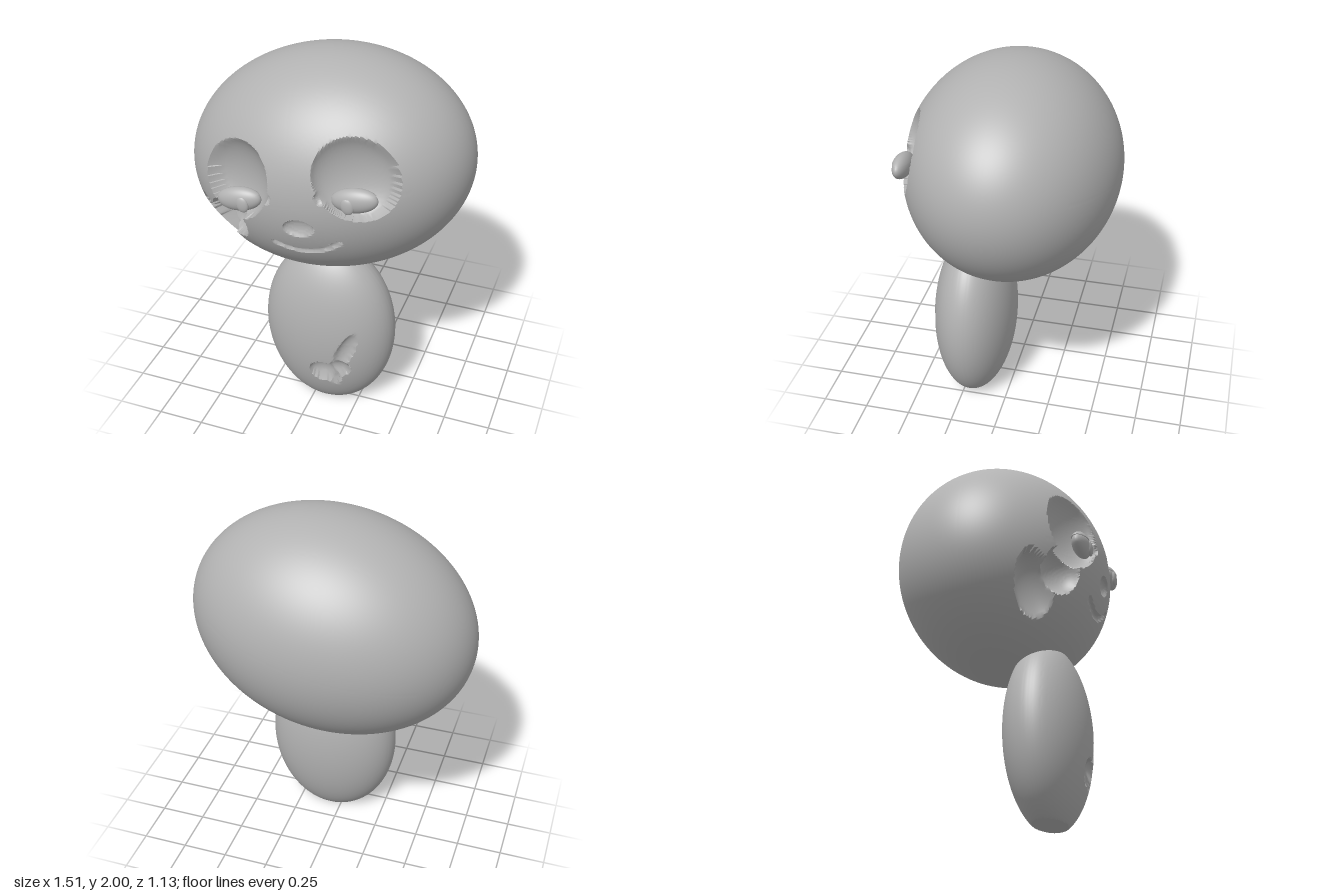
import * as THREE from 'three';
import { toCreasedNormals } from 'three/addons/utils/BufferGeometryUtils.js';

const grey = new THREE.MeshStandardMaterial({ color: 0xb2b2b2 });
grey.name = 'plain grey';

// A hollow is an ellipsoid: centre, radii, yaw and roll
function hollow(centre, radii, yaw = 0, roll = 0) {
  const turn = new THREE.Quaternion().setFromEuler(new THREE.Euler(0, yaw, roll, 'YXZ'));
  return new THREE.Matrix4()
    .compose(new THREE.Vector3(...centre), turn, new THREE.Vector3(...radii))
    .invert();
}

// Ellipsoid about the origin, finest at the front, pressed in along its rays by the hollows
function carvedEllipsoid(radii, hollows, around, along, crowd) {
  const geo = new THREE.SphereGeometry(1, around, along);
  const pos = geo.attributes.position;
  const size = new THREE.Vector3(...radii);
  const p = new THREE.Vector3(), o = new THREE.Vector3(), d = new THREE.Vector3();
  for (let i = 0; i < pos.count; i++) {
    const phi = ((i % (around + 1)) % around) / around * Math.PI * 2;
    const row = Math.floor(i / (around + 1)) / along;
    const theta = Math.PI * Math.pow(row, crowd);
    const s = Math.sin(theta);
    p.set(-Math.cos(phi) * s, -Math.sin(phi) * s, Math.cos(theta)).multiply(size);
    let depth = 1;
    for (const inverse of hollows) {
      o.set(0, 0, 0).applyMatrix4(inverse);
      d.copy(p).applyMatrix4(inverse);
      if (d.lengthSq() >= 1) continue;
      d.sub(o);
      const a = d.lengthSq(), b = o.dot(d), c = o.lengthSq() - 1;
      const root = b * b - a * c;
      if (root > 0) depth = Math.min(depth, Math.max(0.05, (-b - Math.sqrt(root)) / a));
    }
    p.multiplyScalar(depth);
    pos.setXYZ(i, p.x, p.y, p.z);
  }
  return geo;
}

function add(parent, name, geo) {
  const mesh = new THREE.Mesh(geo, grey);
  mesh.name = name;
  parent.add(mesh);
  return mesh;
}

function makeHead() {
  const head = new THREE.Group();
  head.name = 'head';
  const radii = [0.76, 0.594, 0.563];
  const surfaceZ = (x, y) => radii[2] * Math.sqrt(1 - (x / radii[0]) ** 2 - (y / radii[1]) ** 2);
  const hollows = [];

  // Eye sockets with a small nick on the inner rim
  for (const side of [-1, 1]) {
    hollows.push(hollow([side * 0.32, 0.123, 0.49], [0.205, 0.235, 0.115], side * 0.33, side * 0.5));
    hollows.push(hollow([side * 0.145, 0.045, surfaceZ(0.145, 0.045)], [0.03, 0.035, 0.025]));
  }
  // Nose dent
  hollows.push(hollow([-0.004, -0.127, surfaceZ(0, -0.127)], [0.082, 0.056, 0.03]));
  // Smile groove, curving up at both ends
  for (let i = 0; i <= 24; i++) {
    const x = -0.168 + i / 24 * 0.336;
    const y = -0.288 + 0.055 * (x / 0.168) ** 2;
    hollows.push(hollow([x, y, surfaceZ(x, y)], [0.019, 0.019, 0.016]));
  }
  // Hand and forearm pressed into the right cheek
  hollows.push(hollow([-0.435, -0.14, 0.44], [0.125, 0.125, 0.11], -0.5));
  hollows.push(hollow([-0.545, -0.26, 0.33], [0.11, 0.23, 0.12], -0.75, 0.3));

  add(head, 'skull', toCreasedNormals(carvedEllipsoid(radii, hollows, 270, 180, 1.25), 0.6));

  // Half-closed eyes: ball, upper lid and pupil
  for (const side of [-1, 1]) {
    const eye = new THREE.Group();
    eye.name = side > 0 ? 'leftEye' : 'rightEye';
    eye.position.set(side * 0.305, 0.018, 0.512);
    add(eye, 'eyeball', new THREE.SphereGeometry(1, 40, 24)).scale.set(0.118, 0.062, 0.043);
    const lid = new THREE.SphereGeometry(1, 40, 10, 0, Math.PI * 2, 0, 1.15);
    add(eye, 'upperLid', lid).scale.set(0.124, 0.067, 0.047);
    // underside of the lid
    const brim = new THREE.CircleGeometry(Math.sin(1.15), 40).rotateX(Math.PI / 2);
    const under = add(eye, 'lidEdge', brim);
    under.scale.set(0.124, 1, 0.047);
    under.position.y = 0.067 * Math.cos(1.15);
    const pupil = add(eye, 'pupil', new THREE.SphereGeometry(1, 24, 16));
    pupil.scale.set(0.033, 0.043, 0.015);
    pupil.position.set(side * -0.028, -0.012, 0.037);
    head.add(eye);
  }
  head.position.y = 1.4;
  head.rotation.z = 0.19;
  return head;
}

function makeBody() {
  // Fist, forearm and fingertip dents on the belly
  const hollows = [
    hollow([0.035, -0.205, 0.205], [0.085, 0.075, 0.045]),
    hollow([0.115, -0.165, 0.205], [0.075, 0.06, 0.04], 0, 0.3),
    hollow([0.15, -0.04, 0.208], [0.045, 0.145, 0.03], 0.3, -0.4),
    hollow([0.095, -0.25, 0.19], [0.03, 0.06, 0.025], 0.2, -0.1),
  ];
  const geo = carvedEllipsoid([0.365, 0.512, 0.223], hollows, 150, 90, 1.2);
  // Flat base
  const pos = geo.attributes.position;
  for (let i = 0; i < pos.count; i++) pos.setY(i, Math.max(pos.getY(i), -0.47));
  return toCreasedNormals(geo, 0.5);
}

export function createModel() {
  const model = new THREE.Group();
  model.name = 'bigHeadedFigure';
  model.add(makeHead());
  add(model, 'body', makeBody()).position.set(0.065, 0.47, 0.207);
  return model;
}
